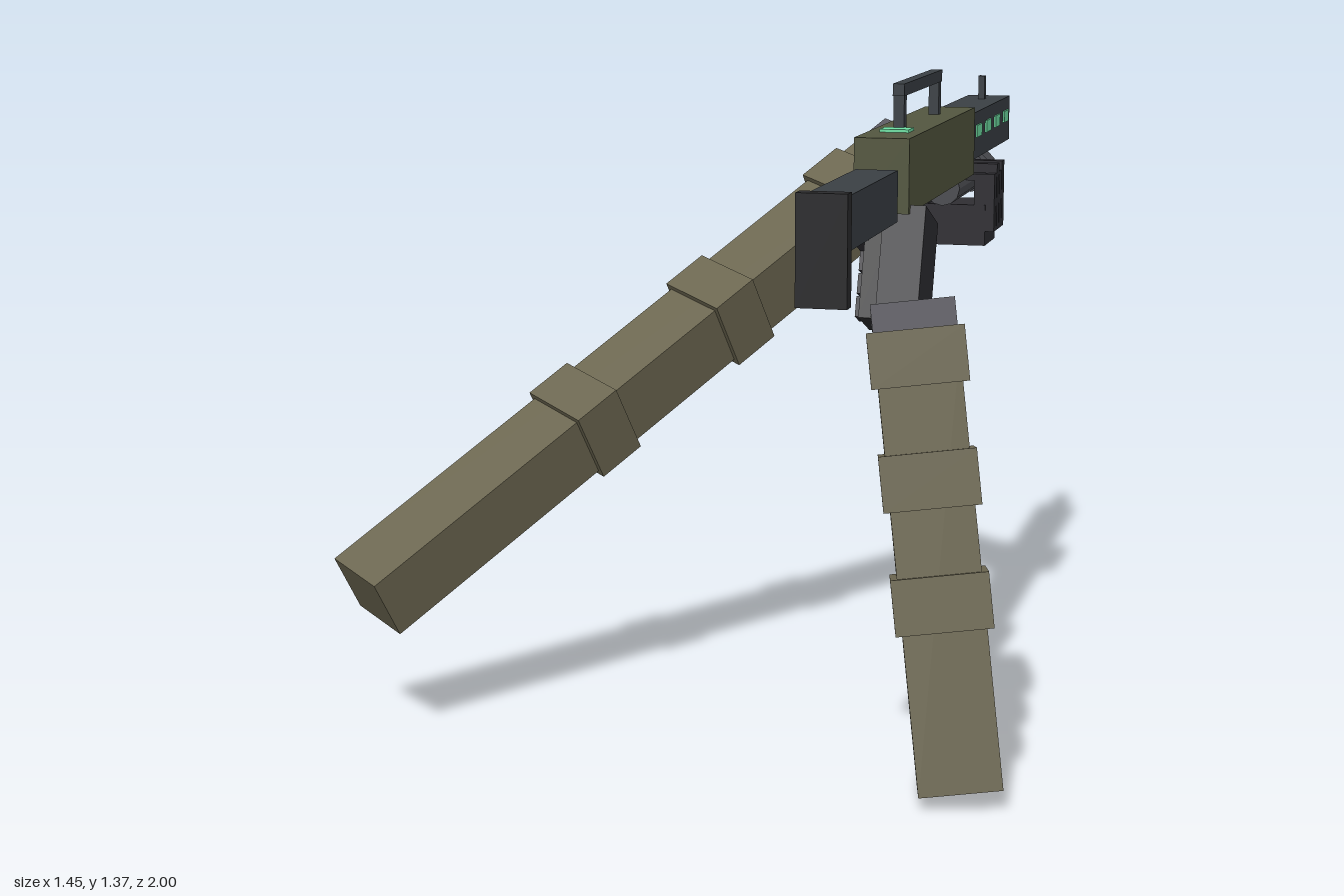
import * as THREE from 'three';

const GX = 0.418; // centre plane of the weapon

const mat = (color) => new THREE.MeshStandardMaterial({ color, flatShading: true });
const olive = mat(0x53563f), steel = mat(0x3a3f44), dark = mat(0x2a2a2c), tubeMat = mat(0x4a4b50),
  skin = mat(0x2e2d32), sleeveMat = mat(0x6b6650), cuffMat = mat(0x58575e), glow = mat(0x6fe0a4);

function add(parent, name, geo, material, x, y, z) {
  const mesh = new THREE.Mesh(geo, material);
  mesh.name = name;
  mesh.position.set(x, y, z);
  parent.add(mesh);
  return mesh;
}

// box given by its extents in y and z, centred on x
function block(parent, name, material, x, w, y0, y1, z0, z1) {
  return add(parent, name, new THREE.BoxGeometry(w, y1 - y0, z1 - z0), material, x, (y0 + y1) / 2, (z0 + z1) / 2);
}

// cylinder lying along z
function rod(parent, name, material, r, sides, y, z0, z1) {
  const geo = new THREE.CylinderGeometry(r, r, z1 - z0, sides).rotateX(Math.PI / 2);
  return add(parent, name, geo, material, GX, y, (z0 + z1) / 2);
}

// square sleeve with rolled bands; local y runs from the elbow to the wrist
function arm(name, start, dir, side, length, w, d, bands) {
  const g = new THREE.Group();
  g.name = name;
  const Y = new THREE.Vector3(...dir).normalize();
  const X = new THREE.Vector3(...side);
  X.addScaledVector(Y, -X.dot(Y)).normalize();
  const Z = new THREE.Vector3().crossVectors(X, Y);
  g.quaternion.setFromRotationMatrix(new THREE.Matrix4().makeBasis(X, Y, Z));
  g.position.set(...start);
  const cuff = 0.1;
  add(g, 'sleeve', new THREE.BoxGeometry(w, length - cuff, d), sleeveMat, 0, (length - cuff) / 2, 0);
  add(g, 'wristCuff', new THREE.BoxGeometry(w, cuff, d), cuffMat, 0, length - cuff / 2, 0);
  for (const t of bands) {
    add(g, 'sleeveBand', new THREE.BoxGeometry(w * 1.16, 0.11, d * 1.16), sleeveMat, 0, t, 0);
  }
  return g;
}

function weapon() {
  const g = new THREE.Group();
  g.name = 'weapon';
  block(g, 'receiver', olive, GX, 0.112, 1.13, 1.28, -0.3, 0.465);
  block(g, 'handguard', steel, GX, 0.1, 1.16, 1.265, -0.835, -0.3);
  block(g, 'stock', steel, GX, 0.085, 1.12, 1.222, 0.51, 0.968);
  block(g, 'buttPlate', dark, GX, 0.097, 1.02, 1.23, 0.965, 1);
  rod(g, 'barrel', steel, 0.024, 10, 1.213, -1, -0.83);
  block(g, 'frontSight', steel, GX, 0.015, 1.26, 1.32, -0.74, -0.72);

  // carry handle
  block(g, 'handleBar', steel, GX, 0.024, 1.35, 1.375, -0.128, 0.298);
  for (const z of [0.28, -0.108]) block(g, 'handlePost', steel, GX, 0.022, 1.27, 1.355, z - 0.013, z + 0.013);

  // lights
  block(g, 'topLight', glow, GX, 0.06, 1.275, 1.286, 0.285, 0.34);
  for (const s of [-1, 1]) {
    for (let i = 0; i < 4; i++) {
      const z = -0.385 - i * 0.128;
      block(g, 'sideLight', glow, GX + s * 0.05, 0.008, 1.208, 1.235, z - 0.032, z + 0.032);
    }
  }

  // tube below the handguard
  rod(g, 'lowerTube', tubeMat, 0.039, 12, 1.106, -0.6, -0.215);
  rod(g, 'tubeMuzzle', tubeMat, 0.049, 12, 1.106, -0.665, -0.585);
  return g;
}

// hand wrapped around the lower tube
function supportHand() {
  const g = new THREE.Group();
  g.name = 'supportHand';
  block(g, 'palm', skin, 0.415, 0.17, 0.968, 1.06, -0.445, -0.305);
  block(g, 'handHeel', skin, 0.34, 0.06, 0.97, 1.17, -0.45, -0.31);
  const thumb = block(g, 'thumb', skin, 0.345, 0.045, 1.08, 1.2, -0.41, -0.355);
  thumb.rotation.z = 0.15;
  for (let i = 0; i < 4; i++) {
    const z = -0.427 + i * 0.035;
    block(g, 'finger', skin, 0.497, 0.046, 1.0, 1.15 - (i % 2) * 0.02, z - 0.015, z + 0.015);
    block(g, 'fingerTip', skin, 0.478, 0.05, 1.115, 1.15 - (i % 2) * 0.02, z - 0.013, z + 0.013);
  }
  return g;
}

// slanted pistol grip with its hand
function triggerHand() {
  const g = new THREE.Group();
  g.name = 'triggerHand';
  g.position.set(GX, 1.015, 0.412);
  g.rotation.x = -0.37;
  block(g, 'grip', dark, 0, 0.07, -0.118, 0.13, -0.06, 0.06);
  block(g, 'palm', skin, 0.045, 0.085, -0.1, 0.11, -0.065, 0.08);
  block(g, 'thumb', skin, -0.045, 0.035, 0.04, 0.085, -0.06, 0.07);
  for (let i = 0; i < 3; i++) {
    const y = -0.075 + i * 0.048;
    block(g, 'finger', skin, 0, 0.125, y - 0.021, y + 0.021, -0.085, -0.035);
  }
  const finger = block(g, 'triggerFinger', skin, 0.04, 0.022, 0.045, 0.06, -0.165, -0.05);
  finger.rotation.x = 0.37;
  return g;
}

export function createModel() {
  const model = new THREE.Group();
  model.name = 'armsWithRifle';
  model.add(weapon(), supportHand(), triggerHand());
  model.add(arm('supportArm', [-0.647, 0.305, 0.585], [0.575, 0.515, -0.635], [0.787, -0.206, 0.58],
    1.66, 0.155, 0.144, [0.62, 1.03, 1.46]));
  model.add(arm('triggerArm', [0.633, 0.03, 0.695], [-0.141, 0.977, -0.156], [0.96, 0.105, -0.22],
    0.96, 0.165, 0.15, [0.37, 0.61, 0.85]));
  return model;
}
